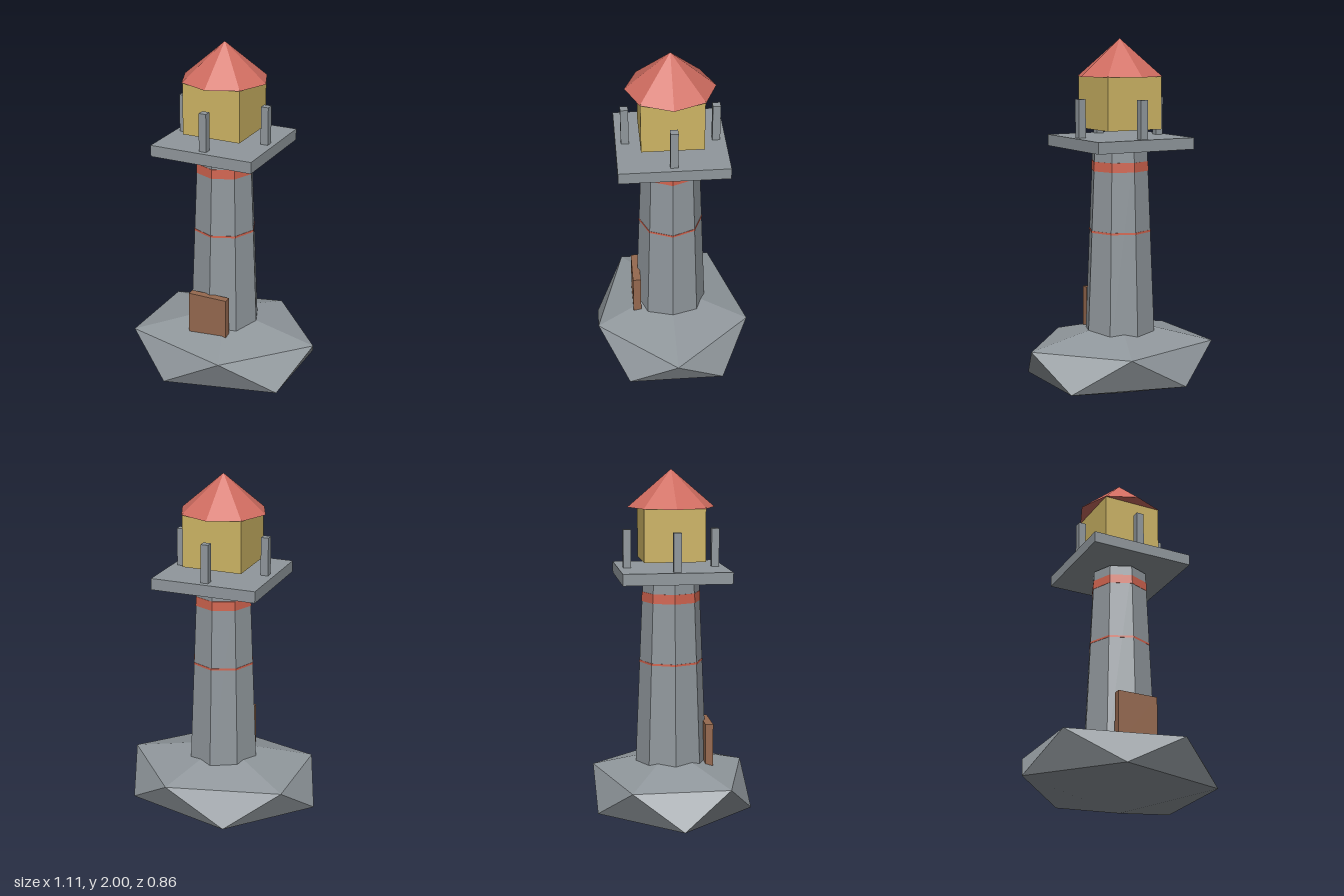
import * as THREE from 'three';
import { ConvexGeometry } from 'three/addons/geometries/ConvexGeometry.js';

const material = (name, color) => {
  const m = new THREE.MeshStandardMaterial({ color, flatShading: true });
  m.name = name;
  return m;
};

export function createModel() {
  const model = new THREE.Group();
  model.name = 'lighthouse';
  const stone = material('stone grey', 0x90979c);
  const red = material('roof red', 0xcf6c60);
  const bandRed = material('band red', 0xd0644f);
  const glow = material('lantern yellow', 0xcdb464);
  const wood = material('door brown', 0x96694f);

  const add = (name, geometry, mat, x, y, z) => {
    const mesh = new THREE.Mesh(geometry, mat);
    mesh.name = name;
    mesh.position.set(x, y, z);
    model.add(mesh);
    return mesh;
  };
  const box = (name, mat, w, y0, y1, d, x = 0, z = 0) =>
    add(name, new THREE.BoxGeometry(w, y1 - y0, d), mat, x, (y0 + y1) / 2, z);

  // Rock: a squashed icosahedron, two staggered rings of five between two poles
  const rockPoints = [new THREE.Vector3(0, 0, 0), new THREE.Vector3(0, 0.436, 0)];
  for (let i = 0; i < 5; i++) {
    const a = (i * Math.PI * 2) / 5;
    const x = 0.553 * Math.cos(a), z = 0.452 * Math.sin(a);
    rockPoints.push(new THREE.Vector3(x, 0.313, z), new THREE.Vector3(-x, 0.123, z));
  }
  add('rock', new ConvexGeometry(rockPoints), stone, 0, 0, 0);

  // Tower: tapered octagon, with bands that follow the taper
  const radiusAt = (y) => 0.2 - (y - 0.38) * 0.0425;
  const octagon = (name, mat, y0, y1, grow = 0) =>
    add(name, new THREE.CylinderGeometry(radiusAt(y1) + grow, radiusAt(y0) + grow, y1 - y0, 8),
      mat, 0, (y0 + y1) / 2, 0);
  octagon('tower', stone, 0.25, 1.39);
  octagon('upperBand', bandRed, 1.28, 1.332, 0.002);
  octagon('lowerBand', bandRed, 0.94, 0.951, 0.002);

  // Door
  box('door', wood, 0.23, 0.3, 0.595, 0.044, 0, 0.2);

  // Gallery with one post at the middle of each side
  box('gallery', stone, 0.59, 1.404, 1.467, 0.59);
  for (const [x, z] of [[1, 0], [-1, 0], [0, 1], [0, -1]]) {
    box('galleryPost', stone, 0.042, 1.467, 1.676, 0.042, x * 0.244, z * 0.244);
  }

  // Lantern room and roof
  box('lantern', glow, 0.334, 1.509, 1.8, 0.334);
  add('roof', new THREE.ConeGeometry(0.24, 0.205, 8), red, 0, 1.8975, 0);
  return model;
}
